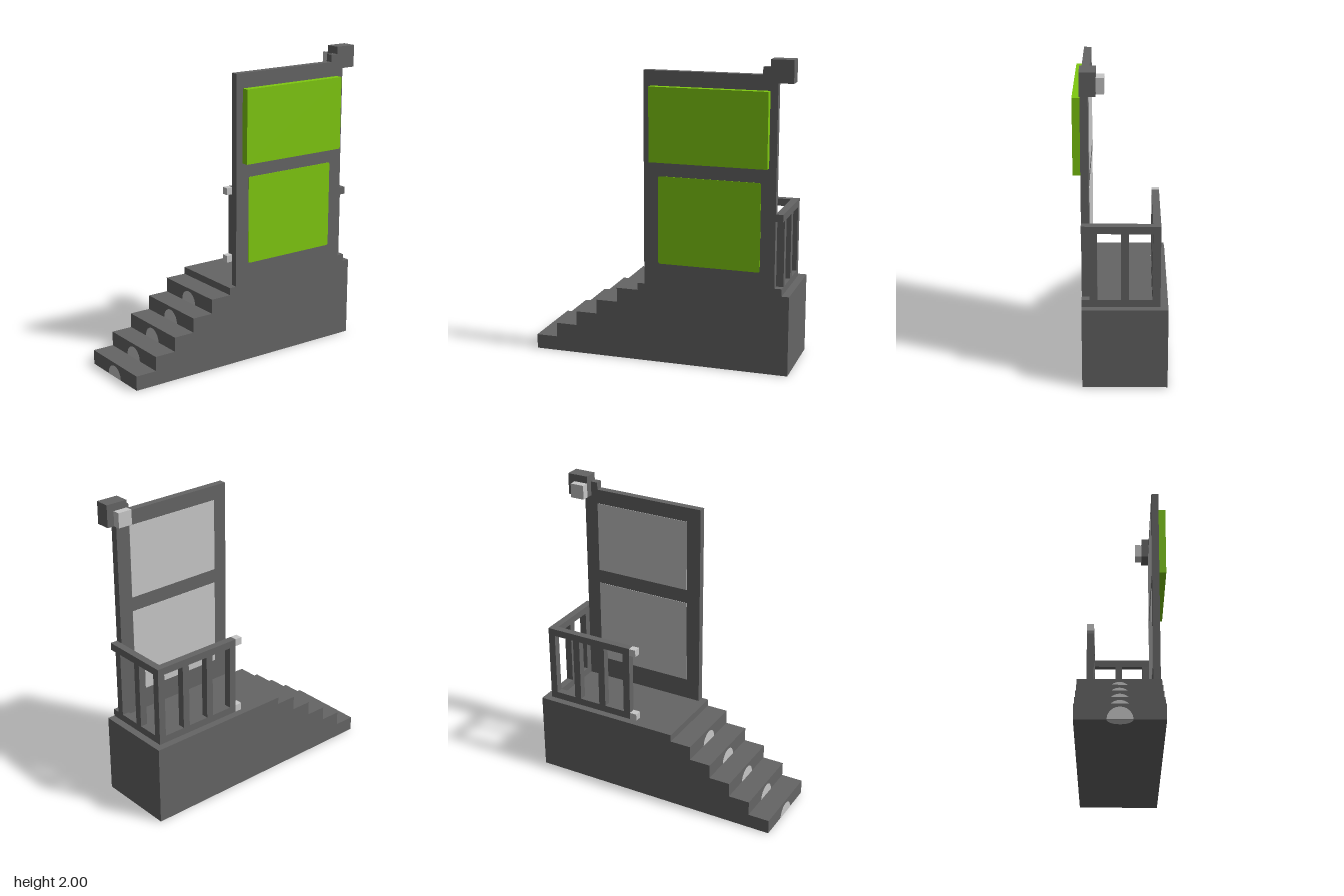
import * as THREE from 'three';

const mat = (name, color) => {
  const m = new THREE.MeshStandardMaterial({ color });
  m.name = name;
  return m;
};

export function createModel() {
  const dark = mat('darkGrey', 0x656565);
  const green = mat('green', 0x7fc910);
  const light = mat('lightGrey', 0xc8c8c8);
  const model = new THREE.Group();
  model.name = 'steppedPlatform';

  const add = (name, geometry, material, parent = model) => {
    const mesh = new THREE.Mesh(geometry, material);
    mesh.name = name;
    parent.add(mesh);
    return mesh;
  };
  // Box given by its limits along each axis
  const box = (name, material, [x0, x1], [y0, y1], [z0, z1], parent) => {
    const g = new THREE.BoxGeometry(x1 - x0, y1 - y0, z1 - z0);
    g.translate((x0 + x1) / 2, (y0 + y1) / 2, (z0 + z1) / 2);
    return add(name, g, material, parent);
  };

  const u = 1 / 21; // building unit
  const back = -6 * u, front = 5 * u, deck = 11 * u;

  // Base and stairs: one stepped side profile
  const profile = new THREE.Shape();
  profile.moveTo(18 * u, 0);
  profile.lineTo(18 * u, deck);
  for (let i = 5; i >= 0; i--) {
    const x = (-18 + 3 * i) * u;
    profile.lineTo(x, Math.min(2 * (i + 1) * u, deck));
    profile.lineTo(x, 2 * i * u);
  }
  const baseGeo = new THREE.ExtrudeGeometry(profile, { depth: front - back, bevelEnabled: false });
  baseGeo.translate(0, 0, back);
  add('baseAndStairs', baseGeo, dark);

  // Half-round lights on the risers
  const midZ = (front + back) / 2;
  const halfDisc = new THREE.CircleGeometry(0.075, 12, 0, Math.PI);
  for (let i = 0; i < 5; i++) {
    const lamp = add('stepLight', halfDisc, light);
    lamp.rotation.y = -Math.PI / 2;
    lamp.position.set((-18 + 3 * i) * u - 0.002, 2 * i * u + 0.001, midZ);
  }
  const under = add('stepLightUnderside', halfDisc, light);
  under.rotation.set(Math.PI / 2, 0, -Math.PI / 2);
  under.position.set(-18 * u, -0.001, midZ);

  // Tall panel wall
  box('wall', dark, [-2 * u, 16 * u], [deck, 40 * u], [4 * u, front]);
  box('upperScreen', green, [-u, 15 * u], [28 * u, 38 * u], [front, 6 * u]);

  // Lower screen with slightly rounded corners
  const w = 14 * u, y0 = 14 * u, y1 = 26 * u, r = 0.014;
  const s = new THREE.Shape();
  s.moveTo(r, y0);
  s.lineTo(w - r, y0);
  s.quadraticCurveTo(w, y0, w, y0 + r);
  s.lineTo(w, y1 - r);
  s.quadraticCurveTo(w, y1, w - r, y1);
  s.lineTo(r, y1);
  s.quadraticCurveTo(0, y1, 0, y1 - r);
  s.lineTo(0, y0 + r);
  s.quadraticCurveTo(0, y0, r, y0);
  const lower = new THREE.ExtrudeGeometry(s, { depth: 0.003, bevelEnabled: false, curveSegments: 4 });
  lower.translate(0, 0, front);
  add('lowerScreen', lower, green);

  // Pale panels on the rear of the wall
  for (const [a, b] of [[14, 26], [28, 38]])
    box('rearPanel', light, [0, w], [a * u, b * u], [4 * u - 0.003, 4 * u]);

  // Corner lamp housing, bracket and lens
  box('lampBracket', dark, [14 * u, 15 * u], [40 * u, 41 * u], [4 * u, front]);
  box('lampHousing', dark, [15 * u, 18 * u], [39 * u, 42 * u], [3 * u, front]);
  box('lampLens', light, [15 * u, 17 * u], [39 * u, 41 * u], [2 * u, 3 * u]);

  // Railing along the side and back of the deck
  const railing = new THREE.Group();
  railing.name = 'railing';
  model.add(railing);
  for (const y of [11, 21]) {
    const ys = [y * u, (y + 1) * u];
    box('sideRail', dark, [16 * u, 17 * u], ys, [-5 * u, front], railing);
    box('backRail', dark, [4 * u, 16 * u], ys, [-5 * u, -4 * u], railing);
    box('railEndCap', light, [3 * u, 4 * u], ys, [-5 * u, -4 * u], railing);
  }
  const post = (x, z) =>
    box('railPost', dark, [x * u, (x + 1) * u], [12 * u, 21 * u], [z * u, (z + 1) * u], railing);
  for (const x of [4, 8, 12, 16]) post(x, -5);
  for (const z of [-1, 3]) post(16, z);

  return model;
}
